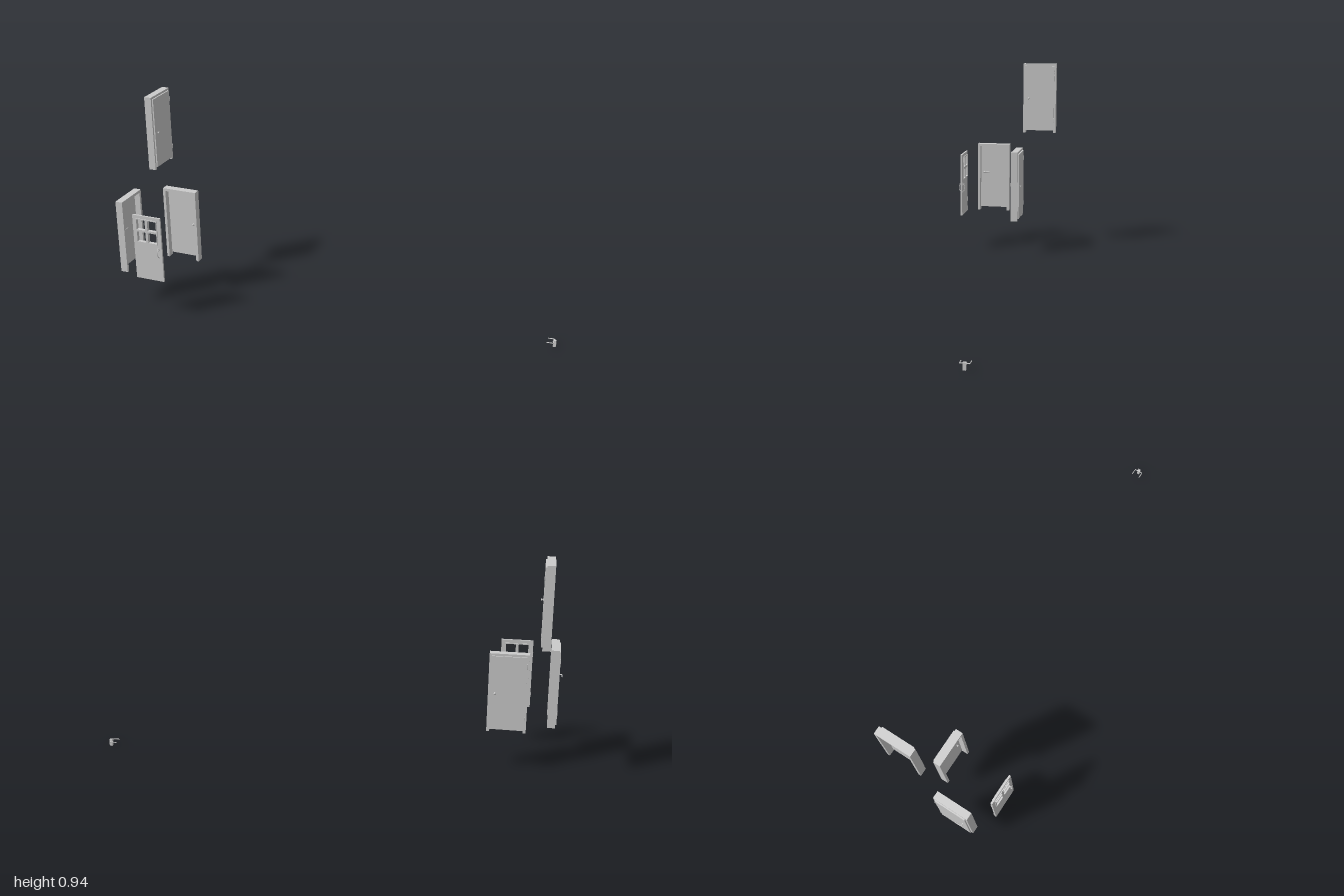
import * as THREE from 'three';

const grey = new THREE.MeshStandardMaterial({ color: 0xcccccc });

function add(parent, name, geometry, x = 0, y = 0, z = 0) {
  const mesh = new THREE.Mesh(geometry, grey);
  mesh.name = name;
  mesh.position.set(x, y, z);
  parent.add(mesh);
  return mesh;
}

const box = (w, h, d) => new THREE.BoxGeometry(w, h, d);
const rod = (r, len) => new THREE.CylinderGeometry(r, r, len, 16);
const LEAF = 0.012; // leaf thickness

function group(name) {
  const g = new THREE.Group();
  g.name = name;
  return g;
}

// Round knobs on both faces of a leaf centred on z = 0
function knobSet() {
  const g = group('knobSet');
  const points = [
    [0, 0], [0.005, 0], [0.005, 0.0015], [0.002, 0.002], [0.002, 0.0045],
    [0.0045, 0.0055], [0.0053, 0.0075], [0.004, 0.0095], [0, 0.0102],
  ].map(([r, h]) => new THREE.Vector2(r, h));
  const profile = new THREE.LatheGeometry(points, 16);
  for (const s of [1, -1]) {
    add(g, 'knob', profile, 0, 0, s * LEAF / 2).rotation.x = s * Math.PI / 2;
  }
  return g;
}

// Lever handles on both faces, levers pointing along -x
function leverSet() {
  const g = group('leverSet');
  add(g, 'lockBody', box(0.013, 0.03, 0.0118), 0.0035, -0.009, 0);
  add(g, 'spindle', rod(0.002, 0.04)).rotation.x = Math.PI / 2;
  for (const s of [1, -1]) {
    add(g, 'rose', rod(0.0048, 0.002), 0, 0, s * (LEAF / 2 + 0.001)).rotation.x = Math.PI / 2;
    const path = new THREE.CatmullRomCurve3([
      new THREE.Vector3(0.001, 0, s * 0.0185),
      new THREE.Vector3(-0.012, 0.0005, s * 0.0195),
      new THREE.Vector3(-0.028, 0, s * 0.0195),
    ]);
    add(g, 'lever', new THREE.TubeGeometry(path, 12, 0.002, 10));
    for (const end of [path.getPoint(0), path.getPoint(1)]) {
      add(g, 'leverEnd', new THREE.SphereGeometry(0.002, 10, 8), end.x, end.y, end.z);
    }
  }
  return g;
}

// Hinge knuckles with small finials
function hinges(parent, x, z, heights) {
  for (const y of heights) {
    add(parent, 'hinge', rod(0.0018, 0.018), x, y, z);
    for (const s of [1, -1]) {
      add(parent, 'hingeTip', new THREE.SphereGeometry(0.002, 10, 8), x, y + s * 0.0095, z);
    }
  }
}

// Door in a frame; the leaf sits proud of the frame on local +z
function framedDoor(name, handle, side, handleY) {
  const g = group(name);
  const W = 0.1675, H = 0.352, D = 0.034, T = 0.0125;
  const outline = new THREE.Shape();
  outline.moveTo(-W / 2, 0);
  outline.lineTo(-W / 2 + T, 0);
  outline.lineTo(-W / 2 + T, H - T);
  outline.lineTo(W / 2 - T, H - T);
  outline.lineTo(W / 2 - T, 0);
  outline.lineTo(W / 2, 0);
  outline.lineTo(W / 2, H);
  outline.lineTo(-W / 2, H);
  outline.closePath();
  add(g, 'doorFrame', new THREE.ExtrudeGeometry(outline, { depth: D, bevelEnabled: false }), 0, 0, -D);
  add(g, 'doorLeaf', box(0.149, 0.329, LEAF), 0, 0.013 + 0.329 / 2, 0);
  hinges(g, -side * 0.0755, LEAF / 2, [0.067, 0.302]);
  handle.position.set(side * 0.054, handleY, 0);
  g.add(handle);
  return g;
}

function rectPath(PathClass, x, y, w, h, r) {
  const p = new PathClass();
  p.moveTo(x - w / 2 + r, y - h / 2);
  p.lineTo(x + w / 2 - r, y - h / 2);
  p.quadraticCurveTo(x + w / 2, y - h / 2, x + w / 2, y - h / 2 + r);
  p.lineTo(x + w / 2, y + h / 2 - r);
  p.quadraticCurveTo(x + w / 2, y + h / 2, x + w / 2 - r, y + h / 2);
  p.lineTo(x - w / 2 + r, y + h / 2);
  p.quadraticCurveTo(x - w / 2, y + h / 2, x - w / 2, y + h / 2 - r);
  p.lineTo(x - w / 2, y - h / 2 + r);
  p.quadraticCurveTo(x - w / 2, y - h / 2, x - w / 2 + r, y - h / 2);
  return p;
}

// Free-standing leaf with a four-light window and pull handles
function windowDoor() {
  const g = group('windowDoor');
  const W = 0.14, H = 0.314, winY = 0.241, winW = 0.107, winH = 0.117, depth = 0.0085;
  const slab = rectPath(THREE.Shape, 0, H / 2, W, H, 0.0005);
  const trim = rectPath(THREE.Shape, 0, winY, winW, winH, 0.003);
  for (const sx of [1, -1]) {
    for (const sy of [1, -1]) {
      const pane = [sx * 0.0275, winY + sy * 0.0295, 0.043, 0.049, 0.003];
      slab.holes.push(rectPath(THREE.Path, ...pane));
      trim.holes.push(rectPath(THREE.Path, ...pane));
    }
  }
  const extrude = (shape, d) => new THREE.ExtrudeGeometry(shape, { depth: d, bevelEnabled: false, curveSegments: 4 });
  add(g, 'doorLeaf', extrude(slab, depth), 0, 0, -depth / 2);
  for (const s of [1, -1]) {
    const t = 0.004;
    add(g, 'windowTrim', extrude(trim, t), 0, 0, s > 0 ? depth / 2 : -depth / 2 - t);

    // Curved pull with end pads and a thumb latch
    const z = s * depth / 2, x = 0.053, y = 0.14;
    const pull = new THREE.CatmullRomCurve3([
      new THREE.Vector3(x, y + 0.019, z), new THREE.Vector3(x, y + 0.015, z + s * 0.007),
      new THREE.Vector3(x, y + 0.003, z + s * 0.0105), new THREE.Vector3(x, y - 0.011, z + s * 0.0085),
      new THREE.Vector3(x, y - 0.019, z),
    ]);
    add(g, 'pullHandle', new THREE.TubeGeometry(pull, 20, 0.0018, 8));
    add(g, 'upperPad', box(0.008, 0.016, 0.0015), x, y + 0.022, z);
    add(g, 'lowerPad', box(0.007, 0.009, 0.0015), x, y - 0.019, z);
    add(g, 'thumbLatch', box(0.004, 0.002, 0.009), x, y + 0.025, z + s * 0.004);
  }
  hinges(g, -W / 2, -depth / 2, [0.06, 0.25]);
  return g;
}

export function createModel() {
  const model = group('doorSet');

  const upper = framedDoor('upperKnobDoor', knobSet(), -1, 0.177);
  upper.position.set(-0.903, 0.593, -0.151);
  upper.rotation.y = Math.PI / 2;

  const back = framedDoor('backKnobDoor', knobSet(), -1, 0.177);
  back.position.set(-0.7725, 0.168, -0.074);
  back.rotation.y = Math.PI;

  const lever = framedDoor('leverDoor', leverSet(), 1, 0.2);
  lever.position.set(-0.979, 0.168, 0.094);
  lever.rotation.y = -Math.PI / 2;

  const glazed = windowDoor();
  glazed.position.set(-0.797, 0.18, 0.221);

  // Loose handle set lying apart from the doors
  const loose = leverSet();
  loose.name = 'looseLeverSet';
  loose.position.set(0.99, 0.024, -0.1535);

  model.add(upper, back, lever, glazed, loose);
  return model;
}
